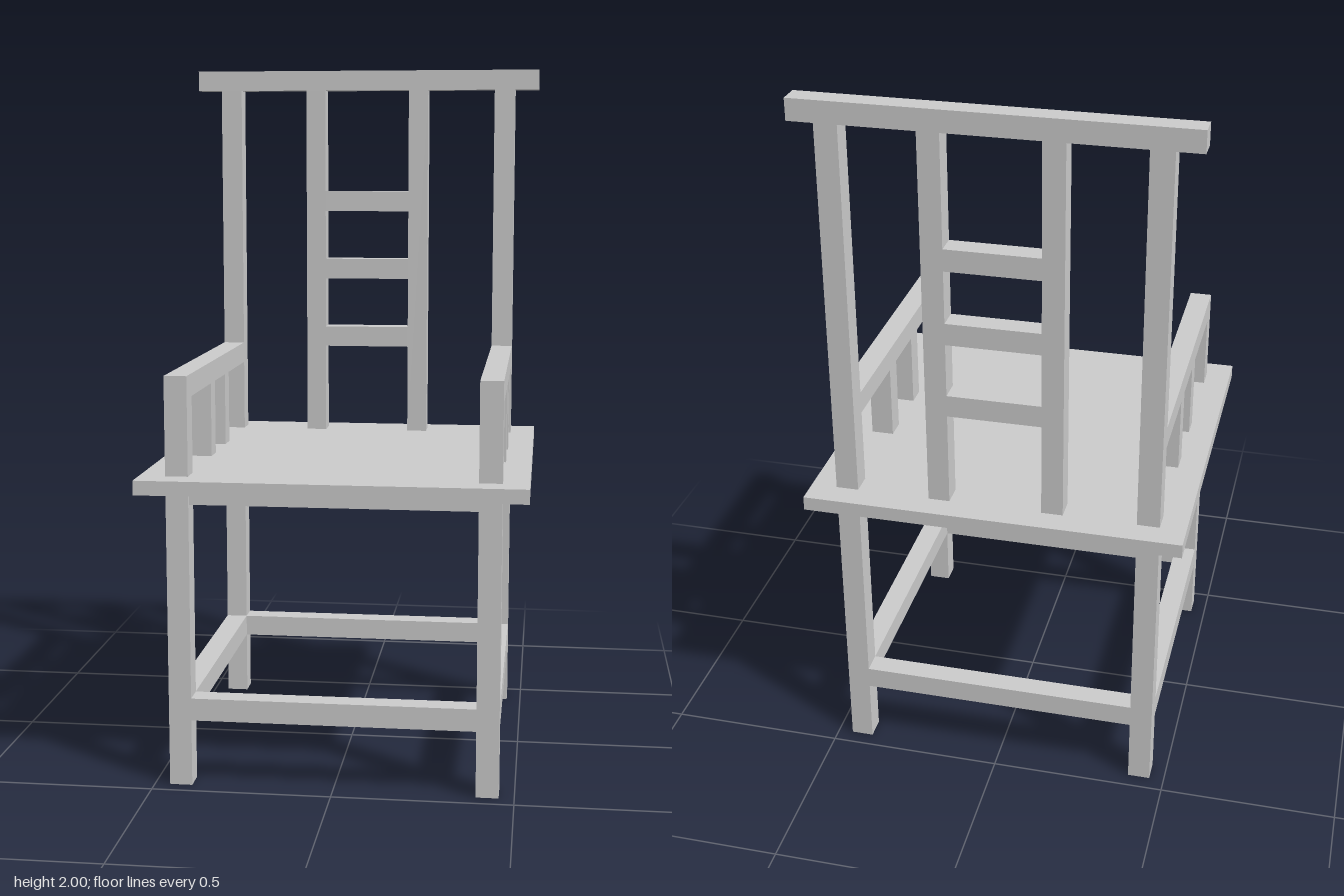
import * as THREE from 'three';

const T = 0.063; // timber thickness
const P = 0.426; // post centre line
const SEAT = 0.875;

export function createModel() {
  const chair = new THREE.Group();
  chair.name = 'armchair';
  const material = new THREE.MeshStandardMaterial({ color: 0xcccccc, flatShading: true });

  // Box given by its size, its centre in x and z, and its bottom and top heights
  function bar(name, w, d, x, z, y0, y1) {
    const mesh = new THREE.Mesh(new THREE.BoxGeometry(w, y1 - y0, d), material);
    mesh.name = name;
    mesh.position.set(x, (y0 + y1) / 2, z);
    chair.add(mesh);
  }

  const inner = 2 * P - T; // clear span between posts
  bar('seat', 1.06, 1.06, 0, 0, 0.835, SEAT);

  for (const s of [-1, 1]) {
    const side = s > 0 ? 'left' : 'right';
    const end = s > 0 ? 'front' : 'back';

    // Legs below the seat, with stretchers and aprons between them
    bar(side + 'FrontLeg', T, T, s * P, P, 0, 0.835);
    bar(side + 'BackLeg', T, T, s * P, -P, 0, 0.835);
    bar(side + 'Stretcher', T, inner, s * P, 0, 0.187, 0.25);
    bar(end + 'Stretcher', inner, T, 0, s * P, 0.187, 0.25);
    bar(side + 'Apron', 0.04, inner, s * P, 0, 0.795, 0.835);
    bar(end + 'Apron', inner, 0.04, 0, s * P, 0.795, 0.835);

    // Armrest on a front post and two short balusters
    bar(side + 'ArmPost', T, T, s * P, P, SEAT, 1.088);
    bar(side + 'Armrest', T, inner + T, s * P, T / 2, 1.088, 1.15);
    for (const z of [-0.105, 0.105]) bar(side + 'ArmBaluster', T, 0.06, s * P, z, SEAT, 1.088);

    // Back post and inner upright
    bar(side + 'BackPost', T, T, s * P, -P, SEAT, 1.94);
    bar(side + 'BackUpright', 0.06, T, s * 0.16, -P, SEAT, 1.94);
  }

  // Ladder rungs and overhanging top rail
  for (const y of [1.143, 1.357, 1.568]) bar('backRung', 0.26, T, 0, -P, y, y + 0.062);
  bar('topRail', 1.06, T, 0, -P, 1.94, 2);

  return chair;
}
